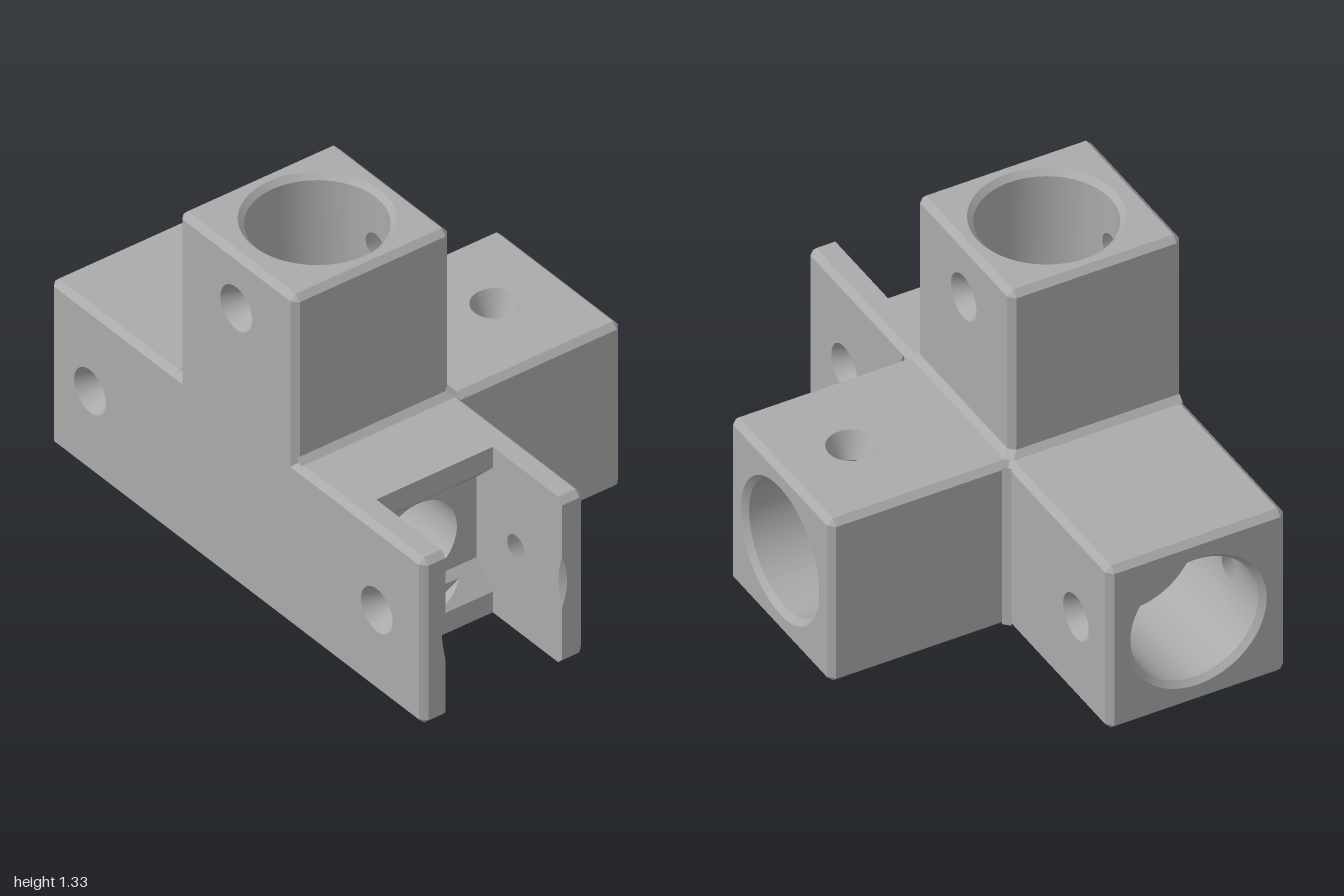
import * as THREE from 'three';
import { mergeGeometries } from 'three/addons/utils/BufferGeometryUtils.js';

const H = 1 / 3, B = 0.022;              // half width of an arm, edge bevel
const R = 0.24, MOUTH = 0.26, PASS = 0.16; // bore, chamfered mouth, inner passage
const SCREW = 0.047, SINK = 0.085;       // screw hole inside and outside
const SLOT = 0.628, WALL = 0.54, STOP = 0.567; // depths inside the slotted arm
const N = 64;

// Surface through rows of points; smooth or faceted
function loft(rows, smooth = false) {
  const n = rows[0].length, index = [];
  for (let j = 0; j < rows.length - 1; j++) {
    for (let i = 0; i < n - 1; i++) {
      const a = j * n + i, b = a + n;
      index.push(a, a + 1, b + 1, a, b + 1, b);
    }
  }
  let g = new THREE.BufferGeometry();
  g.setAttribute('position', new THREE.Float32BufferAttribute(rows.flat(2), 3));
  g.setIndex(index);
  if (smooth) g.computeVertexNormals();
  g = g.toNonIndexed();
  if (!smooth) g.computeVertexNormals();
  return g;
}

// Flat outline (with holes) whose points are moved into space by a rule
function plate(points, holes, map) {
  const vec = (list) => list.map(([x, y]) => new THREE.Vector2(x, y));
  const shape = new THREE.Shape(vec(points));
  for (const h of holes) shape.holes.push(new THREE.Path(vec(h)));
  const g = new THREE.ShapeGeometry(shape).toNonIndexed();
  g.deleteAttribute('uv');
  const p = g.attributes.position;
  for (let i = 0; i < p.count; i++) p.setXYZ(i, ...map(p.getX(i), p.getY(i)));
  g.computeVertexNormals();
  return g;
}

const range = (n, f) => Array.from({ length: n + 1 }, (_, i) => f(i / n));
const circle = (r, cx = 0, cy = 0) => range(N, (t) =>
  [cx + r * Math.cos(t * 2 * Math.PI), cy + r * Math.sin(t * 2 * Math.PI)]);

// Rectangle sampled to pair up with the points of a circle
const frame = (x0, x1, y0, y1, cx = 0, cy = 0) => circle(1).map(([c, s]) => {
  const m = Math.max(Math.abs(c), Math.abs(s));
  const a = c / m, b = s / m;
  return [cx + (a > 0 ? a * (x1 - cx) : -a * (x0 - cx)), cy + (b > 0 ? b * (y1 - cy) : -b * (y0 - cy))];
});
const mix = (a, b, t) => a.map((p, i) => [p[0] + (b[i][0] - p[0]) * t, p[1] + (b[i][1] - p[1]) * t]);
const at = (list, w) => list.map(([x, y]) => [x, y, w]);
const quad = (a, b, c, d) => loft([[a, b], [d, c]]);

// Outer walls shared by all arms: the arm runs along local z, screw holes along x
function shell(x0, x1, y0, y1, hole, start, slotted) {
  const out = [], e = 1 - B;
  for (const s of [-1, 1]) {
    const x = s > 0 ? x1 : x0;
    // side with countersunk screw hole
    const ring = circle(SINK, 0, hole), rect = frame(y0 + B, y1 - B, start, e, 0, hole);
    out.push(loft([ring, rect].map((l) => l.map(([y, w]) => [x, y, w]))));
    out.push(loft([
      ring.map(([y, w]) => [x, y, w]),
      circle(SCREW, 0, hole).map(([y, w]) => [s * (slotted ? R : Math.sqrt(R * R - y * y)), y, w])
    ], true));
    // long bevelled edges
    for (const [y, k] of [[y0, 1], [y1, -1]]) {
      out.push(quad([x, y + k * B, start], [x - s * B, y, start], [x - s * B, y, e], [x, y + k * B, e]));
    }
  }
  return out;
}

// Passage from an arm to the centre, mitred against the others
function passage(e1, e2, open, end) {
  const ring = circle(PASS);
  const inner = ring.map(([a, b]) => {
    const p = e1.clone().multiplyScalar(a).addScaledVector(e2, b);
    return [a, b, Math.max(...open.map((d) => p.dot(d)))];
  });
  return loft([inner, at(ring, end)], true);
}

function boredArm(x0, x1, y0, y1, hole, start, floor) {
  const out = shell(x0, x1, y0, y1, hole, start, false), e = 1 - B, lip = 0.98;
  for (const y of [y0, y1]) out.push(quad([x0 + B, y, start], [x1 - B, y, start], [x1 - B, y, e], [x0 + B, y, e]));
  // bevel round the end
  const a = x0 + B, b = x1 - B, c = y0 + B, d = y1 - B;
  const oct = [[x0, c], [a, y0], [b, y0], [x1, c], [x1, d], [b, y1], [a, y1], [x0, d], [x0, c]];
  const rect = [[a, c], [a, c], [b, c], [b, c], [b, d], [b, d], [a, d], [a, d], [a, c]];
  out.push(loft([at(oct, e), at(rect, 1)]));
  // end face, mouth chamfer and bore floor
  out.push(loft([at(frame(a, b, c, d), 1), at(circle(MOUTH), 1)]));
  out.push(loft([at(circle(MOUTH), 1), at(circle(R), lip)], true));
  out.push(loft([at(circle(R), floor), at(circle(PASS), floor)]));
  // bore wall, with a holed patch on both screw sides
  const half = R / 2;
  for (const s of [-1, 1]) {
    const ring = circle(SCREW, 0, hole), edge = frame(-half, half, floor, lip, 0, hole);
    out.push(loft(range(8, (t) => mix(ring, edge, t).map(([y, w]) => [s * Math.sqrt(R * R - y * y), y, w])), true));
    const arc = range(24, (t) => {
      const q = Math.PI * (1 / 6 + t * 2 / 3);
      return [R * Math.cos(q), s * R * Math.sin(q)];
    });
    out.push(loft([at(arc, floor), at(arc, lip)], true));
  }
  return out;
}

function slottedArm(hole) {
  const out = shell(-H, H, -H, H, hole, 0, true), e = 1 - B, i = H - B;
  const top = PASS + 0.002 + SLOT - WALL;       // half height of the slot pocket
  const slope = (y) => WALL + Math.abs(y) - PASS - 0.002;
  const bite = Math.sqrt(MOUTH * MOUTH - R * R);
  const bites = range(16, (t) => bite * (1 - 2 * t));
  const depth = (y) => 1 - (MOUTH - Math.hypot(R, y));
  for (const s of [-1, 1]) {
    // top and bottom walls
    out.push(quad([-i, s * H, 0], [i, s * H, 0], [i, s * H, SLOT], [-i, s * H, SLOT]));
    out.push(quad([-R, s * top, SLOT], [R, s * top, SLOT], [R, s * H, SLOT], [-R, s * H, SLOT]));
    // sloped face with a shallow crescent recess
    const y0 = STOP - WALL + PASS + 0.002, q0 = Math.asin(y0 / R);
    const arc = range(24, (t) => {
      const q = q0 + t * (Math.PI - 2 * q0);
      return [R * Math.cos(q), s * R * Math.sin(q)];
    });
    out.push(plate([[-R, s * (PASS + 0.002)], [R, s * (PASS + 0.002)], [R, s * top], [-R, s * top]],
      [arc], (x, y) => [x, y, slope(y)]));
    out.push(plate(arc, [], (x, y) => [x, y, STOP]));
    out.push(loft([at(arc, STOP), arc.map(([x, y]) => [x, y, slope(y)])], true));
    // side prong: edges, bevels, front, inside and bitten chamfer
    for (const k of [-1, 1]) {
      out.push(quad([s * R, k * H, SLOT], [s * i, k * H, SLOT], [s * i, k * H, e], [s * R, k * H, e]));
      out.push(quad([s * R, k * H, e], [s * i, k * H, e], [s * i, k * i, 1], [s * R, k * i, 1]));
      out.push(quad([s * i, k * H, e], [s * H, k * i, e], [s * i, k * i, 1], [s * i, k * i, 1]));
    }
    out.push(quad([s * H, -i, e], [s * H, i, e], [s * i, i, 1], [s * i, -i, 1]));
    const rim = bites.map((y) => [Math.sqrt(MOUTH * MOUTH - y * y), y]);
    out.push(plate([[R, -i], [i, -i], [i, i], [R, i], ...rim], [], (x, y) => [s * x, y, 1]));
    const low = [[WALL, -PASS - 0.002], [SLOT, -top], [SLOT, -H], [e, -H], [1, -i]];
    const high = low.map(([w, y]) => [w, -y]).reverse();
    const notch = bites.map((y) => [depth(y), y]).reverse();
    out.push(plate([...low, ...notch, ...high], [circle(SCREW, hole, 0).slice(1)], (w, y) => [s * R, y, w]));
    out.push(loft([rim.map(([x, y]) => [s * x, y, 1]), bites.map((y) => [s * R, y, depth(y)])], true));
  }
  // back wall of the pocket
  out.push(loft([at(frame(-R, R, -PASS - 0.002, PASS + 0.002), WALL), at(circle(PASS), WALL)]));
  return out;
}

export function createModel() {
  const group = new THREE.Group();
  const grey = new THREE.MeshStandardMaterial({ color: 0xaaaaaa, side: THREE.DoubleSide });
  grey.name = 'plain grey';
  const V = (x, y, z) => new THREE.Vector3(x, y, z);
  const open = [V(1, 0, 0), V(0, 1, 0), V(0, 0, 1), V(0, 0, -1)];

  const add = (name, parts) => {
    const mesh = new THREE.Mesh(mergeGeometries(parts), grey);
    mesh.name = name;
    mesh.position.set(-H, H, 0);
    group.add(mesh);
    return mesh;
  };
  const addArm = (name, axis, e1, parts, end) => {
    const e2 = axis.clone().cross(e1);
    parts.push(passage(e1, e2, open, end));
    add(name, parts).geometry.applyMatrix4(new THREE.Matrix4().makeBasis(e1, e2, axis));
  };

  const n = H - B;
  addArm('sideArm', open[0], V(0, 1, 0), boredArm(-H, H, -H, H, 0.733, 0.28, 0.467), 0.467);
  addArm('topArm', open[1], V(1, 0, 0), boredArm(-H, n, -n, n, 0.784, 0.28, STOP), STOP);
  addArm('backArm', open[3], V(1, 0, 0), boredArm(-H, H, -H, H, 0.784, 0, STOP), STOP);
  addArm('frontSlottedArm', open[2], V(1, 0, 0), slottedArm(0.753), WALL);

  // Chamfers filling the inner corners between arms
  const m = H - B / 2, o = H + B;
  const collar = (g) => [[-m, n + g], [n - B + g, n + g], [n + g, n - B + g],
    [n + g, B - n - g], [n - B + g, -n - g], [-m, -n - g]];
  const lay = (list, y) => list.map(([x, z]) => [x, y, z]);
  add('cornerChamfers', [
    loft([lay(collar(0), o), lay(collar(B), H)]),
    ...[-1, 1].map((s) => quad([H, -m, s * o], [o, -m, s * H], [o, m, s * H], [H, m, s * o]))
  ]);
  return group;
}
